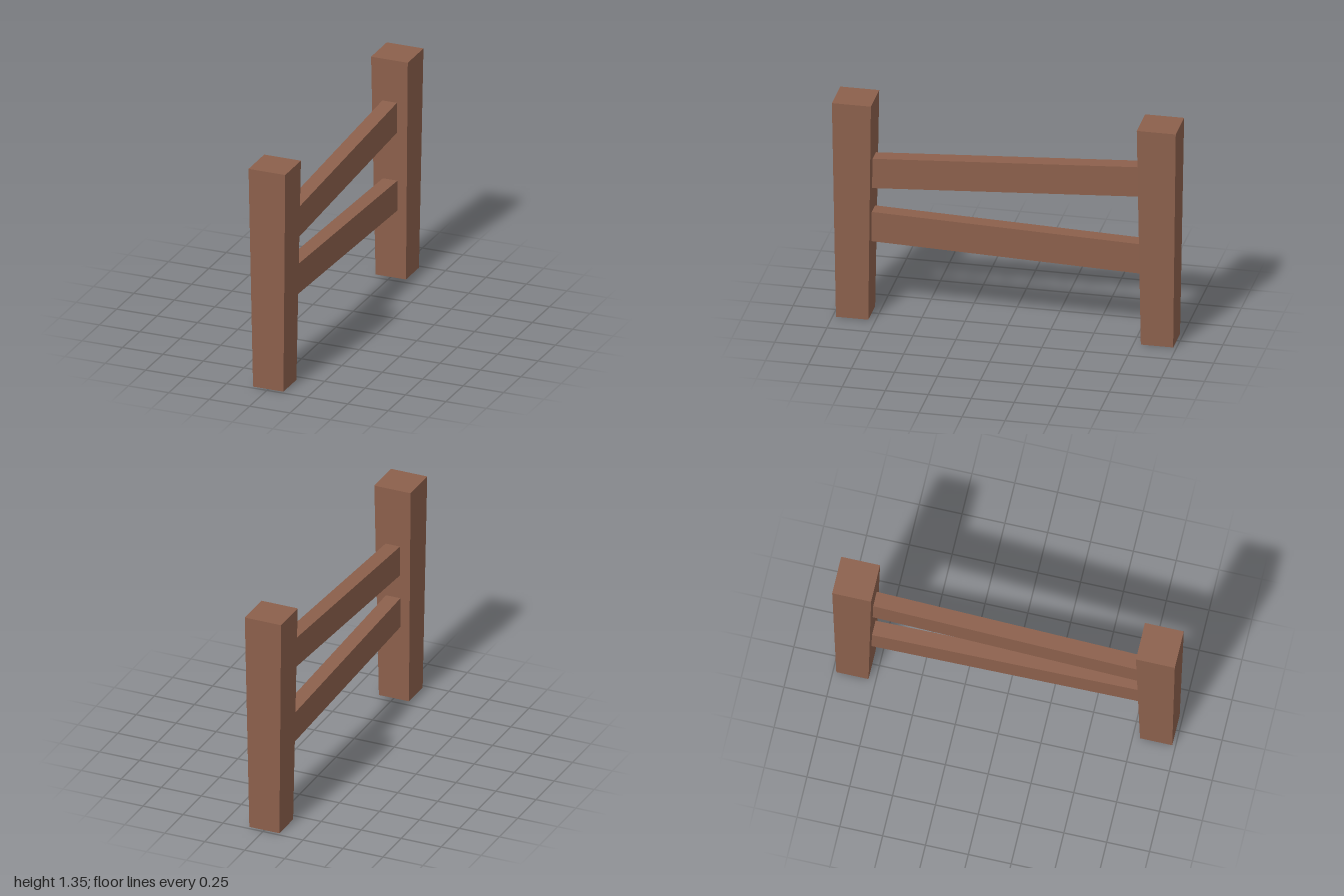
import * as THREE from 'three';

export function createModel() {
  const wood = new THREE.MeshStandardMaterial({ color: 0x8c604c });
  wood.name = 'brownWood';
  const group = new THREE.Group();
  group.name = 'fenceSection';

  // Square post, narrower at the foot
  function post(name, z) {
    const height = 1.35, top = 0.227, foot = 0.188;
    const geo = new THREE.BoxGeometry(top, height, top).translate(0, height / 2, 0);
    const p = geo.attributes.position;
    for (let i = 0; i < p.count; i++) {
      if (p.getY(i) < height / 2) {
        p.setX(i, p.getX(i) * foot / top);
        p.setZ(i, p.getZ(i) * foot / top);
      }
    }
    geo.computeVertexNormals();
    const mesh = new THREE.Mesh(geo, wood);
    mesh.name = name;
    mesh.position.z = z;
    group.add(mesh);
  }
  post('frontPost', 0.8865);
  post('backPost', -0.8865);

  // Sloping rail; slope is the rise in y per unit of z
  function rail(name, y, slope) {
    const mesh = new THREE.Mesh(new THREE.BoxGeometry(0.09, 0.184, 1.61), wood);
    mesh.name = name;
    mesh.position.y = y;
    mesh.rotation.x = -Math.atan(slope);
    group.add(mesh);
  }
  rail('upperRail', 0.948, -0.064);
  rail('lowerRail', 0.539, 0.032);

  return group;
}
